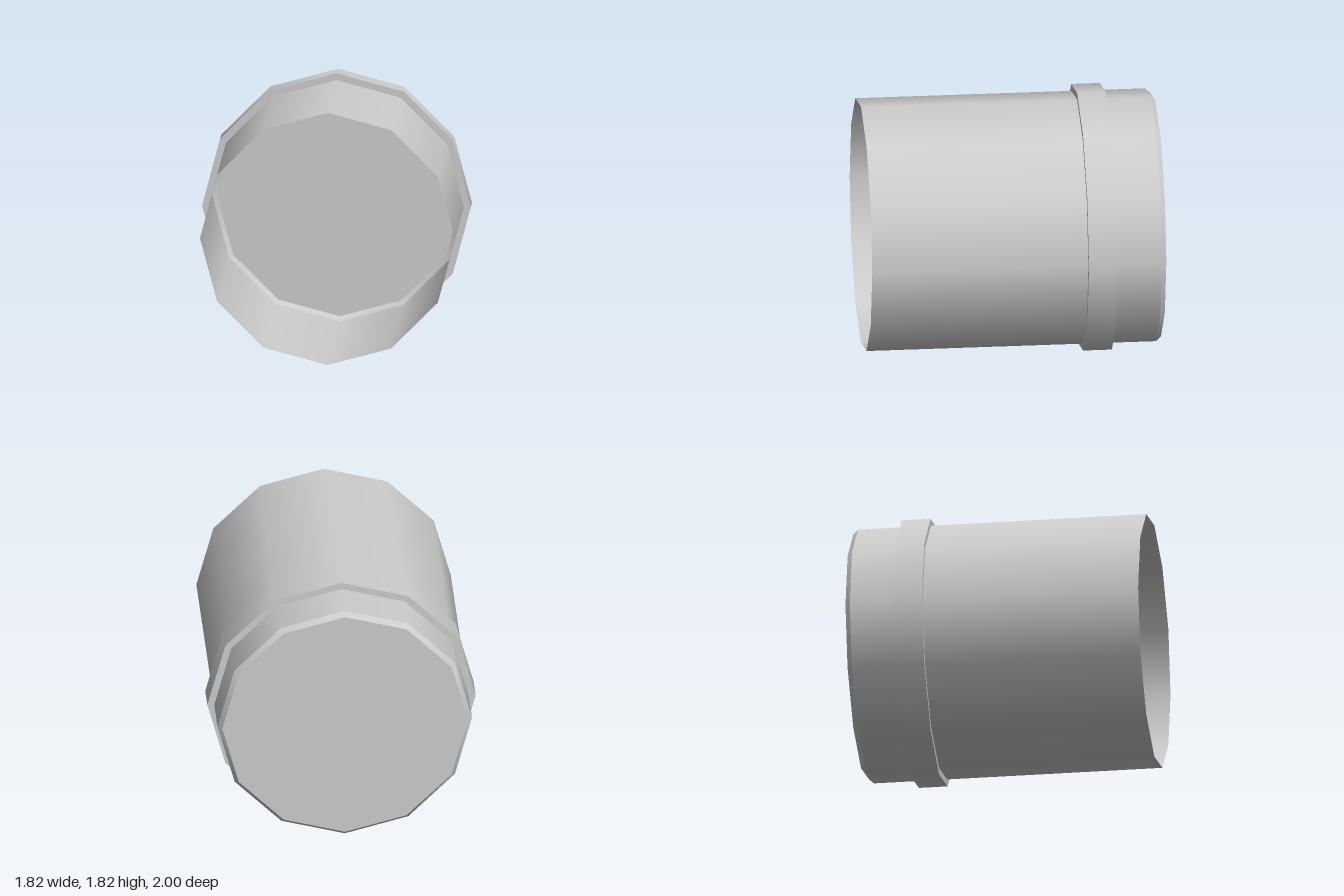
import * as THREE from 'three';

const SIDES = 12;
const CENTRE_Y = 0.91;

export function createModel() {
  const model = new THREE.Group();
  model.name = 'openCanister';

  const grey = new THREE.MeshStandardMaterial({ color: 0xcccccc, side: THREE.DoubleSide });
  grey.name = 'light grey';

  const add = (name, geometry, z) => {
    const mesh = new THREE.Mesh(geometry, grey);
    mesh.name = name;
    mesh.position.set(0, CENTRE_Y, z);
    model.add(mesh);
  };

  // Open twelve-sided wall running along z
  const wall = (name, frontRadius, backRadius, front, back) =>
    add(name, new THREE.CylinderGeometry(frontRadius, backRadius, front - back, SIDES, 1, true)
      .rotateX(Math.PI / 2), (front + back) / 2);

  // Thin shell, open at the front, with a bevelled closed back
  wall('shell', 0.863, 0.863, 1, -0.967);
  wall('backBevel', 0.863, 0.833, -0.967, -1);
  add('backPlate', new THREE.CircleGeometry(0.833, SIDES).rotateY(Math.PI), -1);

  // Raised collar around the shell
  const collarFront = -0.468, collarBack = -0.664;
  wall('collarBand', 0.91, 0.91, collarFront, collarBack);
  add('collarFrontFace', new THREE.RingGeometry(0.863, 0.91, SIDES), collarFront);
  add('collarBackFace', new THREE.RingGeometry(0.863, 0.91, SIDES).rotateY(Math.PI), collarBack);

  return model;
}
